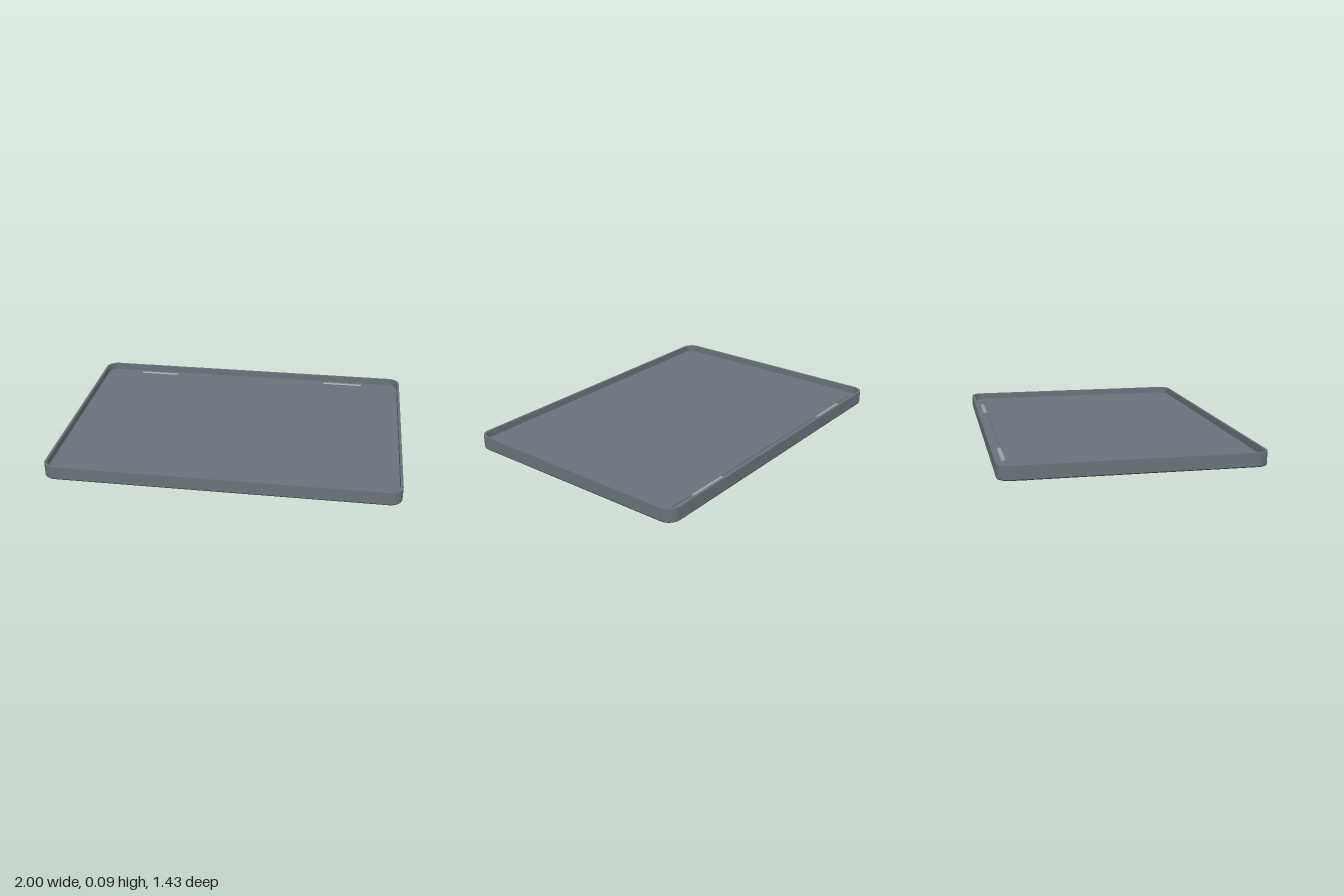
import * as THREE from 'three';

// Rounded rectangle outline, w by d, corner radius r
function outline(w, d, r, Type = THREE.Shape) {
  const s = new Type(), x = w / 2, y = d / 2;
  s.moveTo(-x + r, -y);
  s.lineTo(x - r, -y);
  s.absarc(x - r, -y + r, r, -Math.PI / 2, 0);
  s.lineTo(x, y - r);
  s.absarc(x - r, y - r, r, 0, Math.PI / 2);
  s.lineTo(-x + r, y);
  s.absarc(-x + r, y - r, r, Math.PI / 2, Math.PI);
  s.lineTo(-x, -y + r);
  s.absarc(-x + r, -y + r, r, Math.PI, Math.PI * 1.5);
  return s;
}

// Flat slab lying between two heights
function slab(name, shape, y0, y1, material) {
  const g = new THREE.ExtrudeGeometry(shape, { depth: y1 - y0, bevelEnabled: false, curveSegments: 8 });
  g.rotateX(-Math.PI / 2);
  g.translate(0, y0, 0);
  const m = new THREE.Mesh(g, material);
  m.name = name;
  return m;
}

export function createModel() {
  const model = new THREE.Group();
  model.name = 'shallowTray';
  const paint = (color) => new THREE.MeshStandardMaterial({ color });
  const slate = paint(0x68727b), dark = paint(0x303438), black = paint(0x141414), metal = paint(0x9c9fa2);
  const W = 2, D = 1.434, R = 0.07, wall = 0.014;

  // Dark underside, floor and raised rim
  model.add(slab('bottomPlate', outline(W - 0.004, D - 0.004, R), 0.012, 0.017, dark));
  model.add(slab('floor', outline(W, D, R), 0.017, 0.05, slate));
  const ring = outline(W, D, R);
  ring.holes.push(outline(W - 2 * wall, D - 2 * wall, R - wall, THREE.Path));
  model.add(slab('rim', ring, 0.05, 0.09, slate));

  // Slightly raised inner panel
  const panel = slab('innerPanel', outline(1.93, 1.315, 0.05), 0.05, 0.056, slate);
  panel.position.z = 0.0075;
  model.add(panel);

  // Hinge barrels along the back, half sunk in the floor
  for (const side of [-1, 1]) {
    const g = new THREE.CylinderGeometry(0.014, 0.014, 0.25, 16);
    g.rotateZ(Math.PI / 2);
    const hinge = new THREE.Mesh(g, metal);
    hinge.name = side > 0 ? 'leftHinge' : 'rightHinge';
    hinge.position.set(side * 0.625, 0.047, -0.66);
    model.add(hinge);
  }

  // Four round feet
  for (const x of [-0.94, 0.94]) for (const z of [-0.565, 0.565]) {
    const foot = new THREE.Mesh(new THREE.CylinderGeometry(0.021, 0.019, 0.014, 16), black);
    foot.name = 'foot';
    foot.position.set(x, 0.007, z);
    model.add(foot);
  }
  return model;
}
